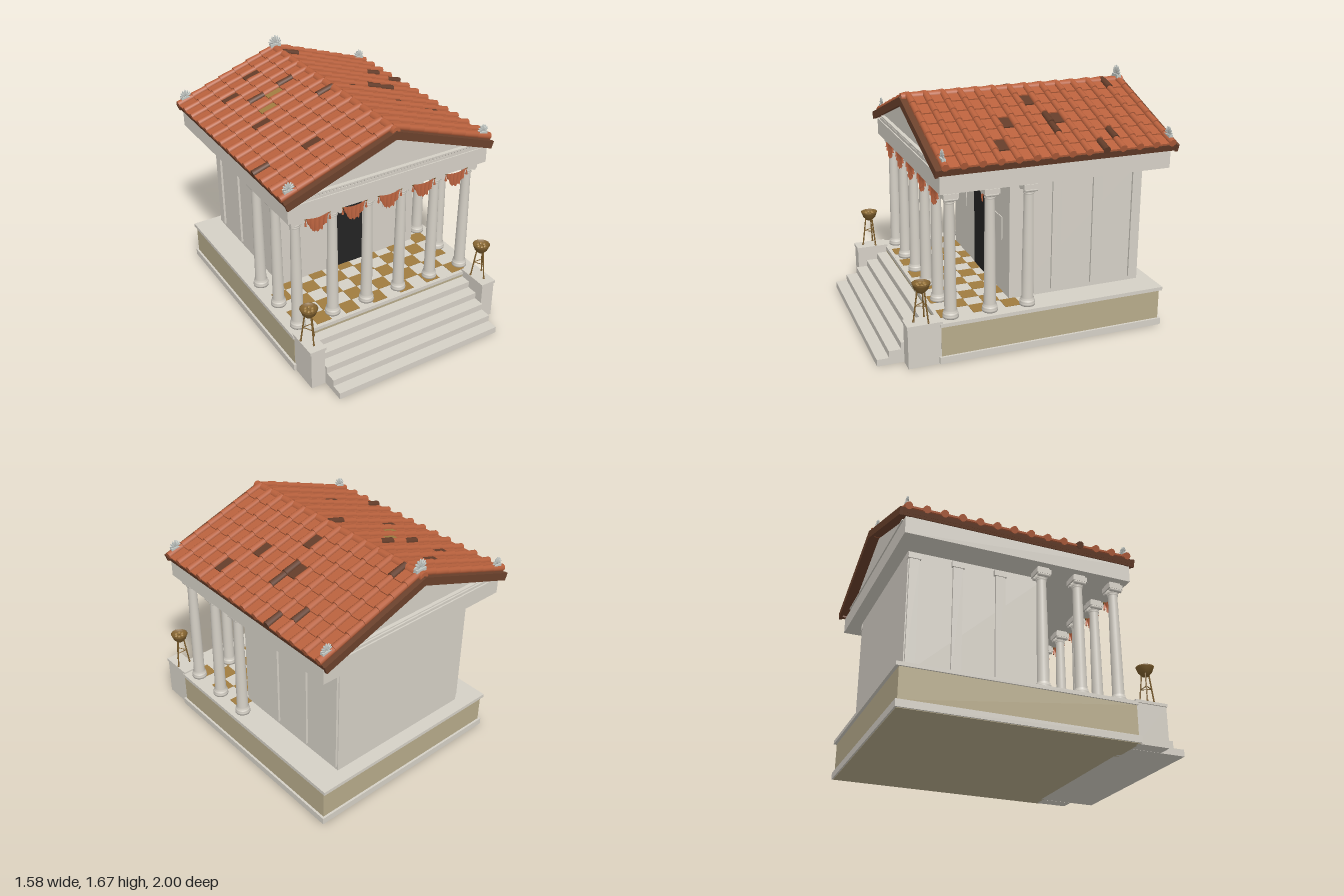
import * as THREE from 'three';
import { mergeGeometries } from 'three/addons/utils/BufferGeometryUtils.js';

const mat = (name, color, side = THREE.FrontSide) => {
  const m = new THREE.MeshStandardMaterial({ color, side });
  m.name = name;
  return m;
};

export function createModel() {
  const marble = mat('marble', 0xd5d0c6);
  const tan = mat('tan stone', 0xb7ab8b);
  const pale = mat('pale ornament', 0xc3c8c4, THREE.DoubleSide);
  const terracotta = mat('terracotta', 0xb9613d);
  const darkTile = mat('dark tile', 0x633c29);
  const ochre = mat('ochre', 0xa07c40);
  const timber = mat('timber', 0x6b412c);
  const bronze = mat('bronze', 0x80602e);
  const black = mat('doorway black', 0x242424);
  const cloth = mat('cloth', 0xbd6440, THREE.DoubleSide);

  const model = new THREE.Group();
  model.name = 'temple';
  const add = (name, geo, material, x = 0, y = 0, z = 0, parent = model) => {
    const m = new THREE.Mesh(geo, material);
    m.name = name;
    m.position.set(x, y, z);
    parent.add(m);
    return m;
  };
  // Box given by its minimum and maximum corners
  const block = (name, material, x0, x1, y0, y1, z0, z1, parent = model) =>
    add(name, new THREE.BoxGeometry(x1 - x0, y1 - y0, z1 - z0), material,
      (x0 + x1) / 2, (y0 + y1) / 2, (z0 + z1) / 2, parent);
  const rod = (name, a, b, r, material, parent) => add(name,
    new THREE.TubeGeometry(new THREE.LineCurve3(new THREE.Vector3(...a), new THREE.Vector3(...b)), 1, r, 6),
    material, 0, 0, 0, parent);

  // Podium
  block('podiumFooting', tan, -0.74, 0.74, 0, 0.004, -0.95, 0.61);
  block('podiumPlinth', marble, -0.75, 0.75, 0.003, 0.05, -0.96, 0.62);
  block('podiumBody', tan, -0.735, 0.735, 0.05, 0.255, -0.945, 0.605);
  block('podiumTop', marble, -0.745, 0.745, 0.255, 0.28, -0.965, 0.61);

  // Steps and cheek walls
  for (let i = 0; i < 6; i++)
    block('step', marble, -0.63, 0.63, i * 0.0467, (i + 1) * 0.0467, 0.58, 1 - i * 0.0795);
  for (const s of [-1, 1]) {
    const x = s * 0.6825;
    add('cheekWall', new THREE.BoxGeometry(0.1, 0.275, 0.225), marble, x, 0.1375, 0.71);
    add('cheekCap', new THREE.BoxGeometry(0.115, 0.02, 0.23), marble, x, 0.284, 0.712);
  }

  // Chequered portico floor
  const paving = [];
  for (let i = 0; i < 12; i++)
    for (let j = 0; j < 5; j++)
      if ((i + j) % 2) paving.push(new THREE.BoxGeometry(0.11, 0.004, 0.11).translate(-0.605 + i * 0.11, 0.281, 0.53 - j * 0.11));
  add('floorTiles', mergeGeometries(paving), ochre);

  // Columns
  const profile = [[0, 0.28], [0.052, 0.28], [0.052, 0.295], [0.048, 0.298], [0.051, 0.306], [0.048, 0.315],
    [0.043, 0.318], [0.045, 0.327], [0.039, 0.333], [0.038, 0.5], [0.0355, 0.75], [0.031, 1.04], [0.036, 1.045],
    [0.036, 1.053], [0.032, 1.056], [0.044, 1.078], [0, 1.078]].map(p => new THREE.Vector2(...p));
  const shaft = new THREE.LatheGeometry(profile, 20);
  const scroll = new THREE.CylinderGeometry(0.013, 0.013, 0.085, 12).rotateX(Math.PI / 2);
  const column = (x, z) => {
    const g = new THREE.Group();
    g.name = 'column';
    g.position.set(x, 0, z);
    model.add(g);
    add('shaft', shaft, marble, 0, 0, 0, g);
    for (const s of [-1, 1]) add('scroll', scroll, marble, s * 0.036, 1.075, 0, g);
    add('abacus', new THREE.BoxGeometry(0.1, 0.033, 0.1), marble, 0, 1.097, 0, g);
    add('bearing', new THREE.BoxGeometry(0.08, 0.02, 0.08), marble, 0, 1.122, 0, g);
  };
  for (const s of [-1, 1]) {
    for (const x of [0.13, 0.395, 0.66]) column(s * x, 0.52);
    for (const z of [0.255, -0.005]) column(s * 0.66, z);
  }

  // Chamber with side pilasters, wall panels and doorway
  block('chamber', marble, -0.55, 0.55, 0.28, 1.14, -0.87, 0.078);
  for (const s of [-1, 1]) {
    for (const z of [-0.25, -0.54, -0.83]) {
      add('pilaster', new THREE.BoxGeometry(0.03, 0.77, 0.066), marble, s * 0.55, 0.695, z);
      add('pilasterCap', new THREE.BoxGeometry(0.044, 0.04, 0.085), marble, s * 0.55, 1.095, z);
    }
    add('wallPanel', new THREE.BoxGeometry(0.14, 0.16, 0.008), marble, s * 0.352, 0.73, 0.08);
    // Ribbons beside the door
    for (const [dx, tilt] of [[-0.007, 0.12], [0.009, -0.2]])
      add('ribbon', new THREE.BoxGeometry(0.009, 0.075, 0.006), cloth, s * (0.18 + dx), 0.885, 0.13).rotation.z = s * tilt;
    add('ribbonKnot', new THREE.SphereGeometry(0.011, 8, 6), bronze, s * 0.18, 0.92, 0.13);
    rod('ribbonHook', [s * 0.18, 0.92, 0.075], [s * 0.18, 0.92, 0.13], 0.004, bronze, model);
  }
  block('doorway', black, -0.11, 0.11, 0.282, 0.885, 0.076, 0.084);
  const leaves = [];
  for (let i = 0; i < 19; i++)
    leaves.push(new THREE.IcosahedronGeometry(0.011, 0).rotateZ(i).translate(-0.126 + i * 0.014, 0.888 + 0.007 * Math.sin(i * 2.3), 0.092));
  add('doorGarland', mergeGeometries(leaves), ochre);

  // Cloth swags between the front columns
  const swag = new THREE.PlaneGeometry(2, 1, 28, 8);
  const sp = swag.attributes.position;
  for (let i = 0; i < sp.count; i++) {
    const u = sp.getX(i), v = 0.5 - sp.getY(i);
    const top = 1.115 - 0.018 * (1 - u * u);
    const low = 1.0 + 0.085 * Math.pow(Math.abs(u), 2.6) + 0.004 * Math.cos(u * 14 * Math.PI);
    sp.setXYZ(i, u * (0.086 - 0.012 * v), top + (low - top) * v, 0.577 + 0.009 * Math.cos(u * 16) * v);
  }
  swag.computeVertexNormals();
  for (let i = -2; i <= 2; i++) {
    add('swag', swag, cloth, i * 0.265);
    for (const s of [-1, 1]) {
      add('swagKnot', new THREE.SphereGeometry(0.009, 8, 6), bronze, i * 0.265 + s * 0.086, 1.113, 0.577);
      add('swagTail', new THREE.ConeGeometry(0.008, 0.05, 6), cloth, i * 0.265 + s * 0.086, 1.085, 0.577);
    }
  }

  // Entablature, cornice, dentils and pediment
  block('entablature', marble, -0.75, 0.75, 1.13, 1.245, -0.955, 0.605);
  block('cornice', marble, -0.7, 0.7, 1.245, 1.262, -0.945, 0.597);
  block('corniceLip', marble, -0.65, 0.65, 1.278, 1.286, -0.95, 0.602);
  const dentils = [];
  for (let i = 0; i < 53; i++)
    dentils.push(new THREE.BoxGeometry(0.015, 0.016, 0.02).translate((i - 26) * 0.0248, 1.27, 0.588));
  add('dentils', mergeGeometries(dentils), marble);
  const gable = new THREE.Shape([[-0.745, 1.22], [0.745, 1.22], [0.745, 1.26], [0, 1.525], [-0.745, 1.26]]
    .map(p => new THREE.Vector2(...p)));
  add('pediment', new THREE.ExtrudeGeometry(gable, { depth: 1.5, bevelEnabled: false }), marble, 0, 0, -0.925);

  // Roof slopes: local +x runs down the slope from the ridge
  const angle = 0.341, length = 0.823, pitch = length / 7;
  const oddPans = { '1,1,2': 1, '1,2,4': 1, '1,6,4': 1, '1,10,3': 1, '1,4,2': 2, '1,5,3': 2,
    '0,6,1': 1, '0,5,3': 1, '0,8,3': 1, '0,9,5': 1 };
  const oddCovers = ['1,4,3', '1,4,1', '1,7,0', '1,10,6', '0,3,5', '0,4,6', '0,6,4', '0,6,3', '0,1,0'];
  for (const left of [0, 1]) {   // 0 is the +x slope, 1 the -x slope
    const turn = new THREE.Group(), slope = new THREE.Group();
    turn.name = 'roofSide';
    slope.name = 'roofSlope';
    turn.rotation.y = left * Math.PI;
    slope.position.y = 1.565;
    slope.rotation.z = -angle;
    turn.add(slope);
    model.add(turn);
    const f = left ? -1 : 1;
    add('roofDeck', new THREE.BoxGeometry(length, 0.03, 1.6), timber, length / 2, -0.016, f * -0.18, slope);
    for (const z of [-0.99, 0.625])
      add('rakingBoard', new THREE.BoxGeometry(length + 0.01, 0.052, 0.02), timber, length / 2, -0.026, f * z, slope);
    add('eaveBoard', new THREE.BoxGeometry(0.02, 0.045, 1.6), timber, length - 0.012, -0.025, f * -0.18, slope);
    const sets = [[], [], []];
    for (let k = 0; k < 7; k++) {
      const x = (k + 0.5) * pitch;
      for (let j = 0; j < 14; j++) {
        const z = -0.947 + j * 0.1172;
        if (j < 13)
          sets[oddPans[`${left},${j},${k}`] || 0].push(new THREE.BoxGeometry(pitch + 0.008, 0.012, 0.113)
            .rotateZ(0.07).translate(x, 0.007, f * (z + 0.0586)));
        sets[oddCovers.includes(`${left},${j},${k}`) ? 1 : 0].push(
          new THREE.CylinderGeometry(0.025, 0.021, pitch + 0.008, 10).rotateZ(-Math.PI / 2 + 0.04).translate(x, 0.014, f * z));
      }
    }
    [terracotta, darkTile, ochre].forEach((m, i) => {
      if (sets[i].length) add('roofTiles', mergeGeometries(sets[i]), m, 0, 0, 0, slope);
    });
  }
  for (let j = 0; j < 13; j++)
    add('ridgeTile', new THREE.CylinderGeometry(0.029, 0.032, 0.128, 12).rotateX(Math.PI / 2), terracotta, 0, 1.561, -0.92 + j * 0.1235);

  // Palm-leaf ornaments on the back ridge and the four corners
  const petal = new THREE.SphereGeometry(1, 8, 6).scale(0.0085, 0.026, 0.006).translate(0, 0.03, 0);
  const palmette = (x, y, z, size) => {
    const g = new THREE.Group();
    g.name = 'palmette';
    g.position.set(x, y, z);
    g.scale.setScalar(size);
    model.add(g);
    add('palmetteBase', new THREE.BoxGeometry(0.07, 0.04, 0.026), pale, 0, -0.02, 0, g);
    for (let i = -3; i <= 3; i++) {
      const leaf = add('petal', petal, pale, 0, 0, 0, g);
      leaf.rotation.z = -i * 0.42;
      leaf.scale.y = 1 - Math.abs(i) * 0.05;
    }
  };
  palmette(0, 1.606, -0.945, 1.15);
  for (const x of [-0.725, 0.725]) for (const z of [-0.947, 0.577]) palmette(x, 1.352, z, 0.95);

  // Tripod braziers on the cheek walls
  const bowl = new THREE.LatheGeometry([[0, 0.485], [0.022, 0.49], [0.045, 0.515], [0.056, 0.545], [0.06, 0.553],
    [0.054, 0.556], [0.045, 0.54], [0, 0.532]].map(p => new THREE.Vector2(...p)), 16);
  for (const s of [-1, 1]) {
    const g = new THREE.Group();
    g.name = 'brazier';
    g.position.set(s * 0.683, 0, 0.715);
    model.add(g);
    add('bowl', bowl, bronze, 0, 0, 0, g);
    for (let i = 0; i < 3; i++) {
      const at = (k, r, y) => [Math.sin(k * 2.0944) * r, y, Math.cos(k * 2.0944) * r];
      rod('leg', at(i, 0.056, 0.296), at(i, 0.027, 0.505), 0.005, bronze, g);
      rod('brace', at(i, 0.041, 0.405), at(i + 1, 0.041, 0.405), 0.003, bronze, g);
      add('foot', new THREE.SphereGeometry(0.008, 8, 6), bronze, ...at(i, 0.056, 0.3), g);
    }
    for (let i = 0; i < 6; i++)
      add('ember', new THREE.IcosahedronGeometry(0.012, 0), ochre, 0.025 * Math.cos(i * 1.05), 0.542, 0.025 * Math.sin(i * 1.05), g);
  }
  return model;
}
